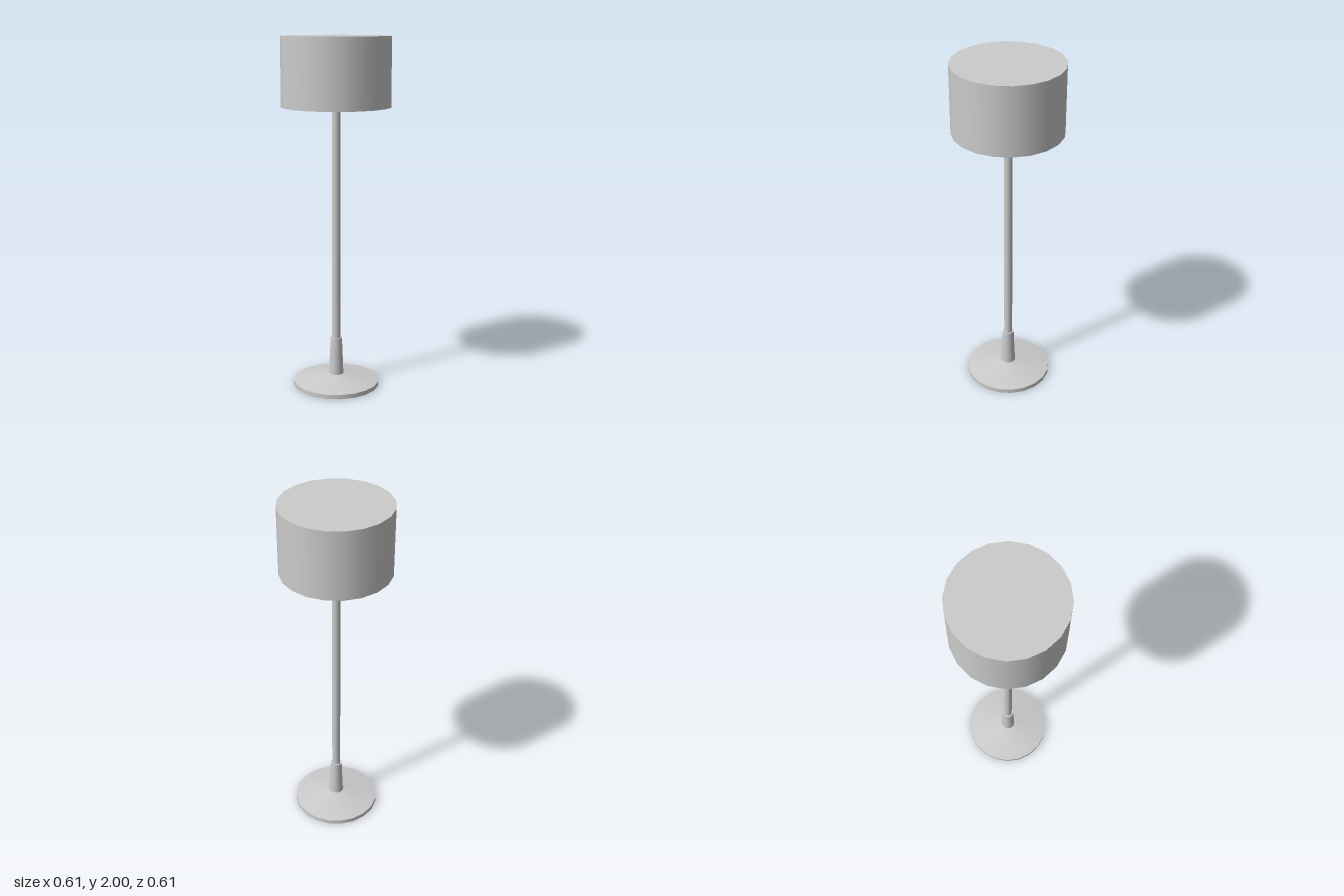
import * as THREE from 'three';

const SIDES = 20;

export function createModel() {
  const lamp = new THREE.Group();
  lamp.name = 'floorLamp';
  const material = new THREE.MeshStandardMaterial({ color: 0xcccccc });

  // Upright round part between two heights
  function addRound(name, bottomRadius, topRadius, y0, y1, open = false) {
    const geometry = new THREE.CylinderGeometry(topRadius, bottomRadius, y1 - y0, SIDES, 1, open);
    const mesh = new THREE.Mesh(geometry, material);
    mesh.name = name;
    mesh.position.y = (y0 + y1) / 2;
    lamp.add(mesh);
  }

  // Foot: a thin disc with a shallow cone on top
  addRound('baseDisc', 0.248, 0.248, 0, 0.025);
  addRound('baseCone', 0.248, 0.042, 0.025, 0.063, true);

  // Tapered collar holding the pole
  addRound('collar', 0.042, 0.033, 0.063, 0.28);
  addRound('pole', 0.024, 0.024, 0.28, 1.615);

  // Closed drum shade
  addRound('shade', 0.306, 0.306, 1.615, 2);

  return lamp;
}
